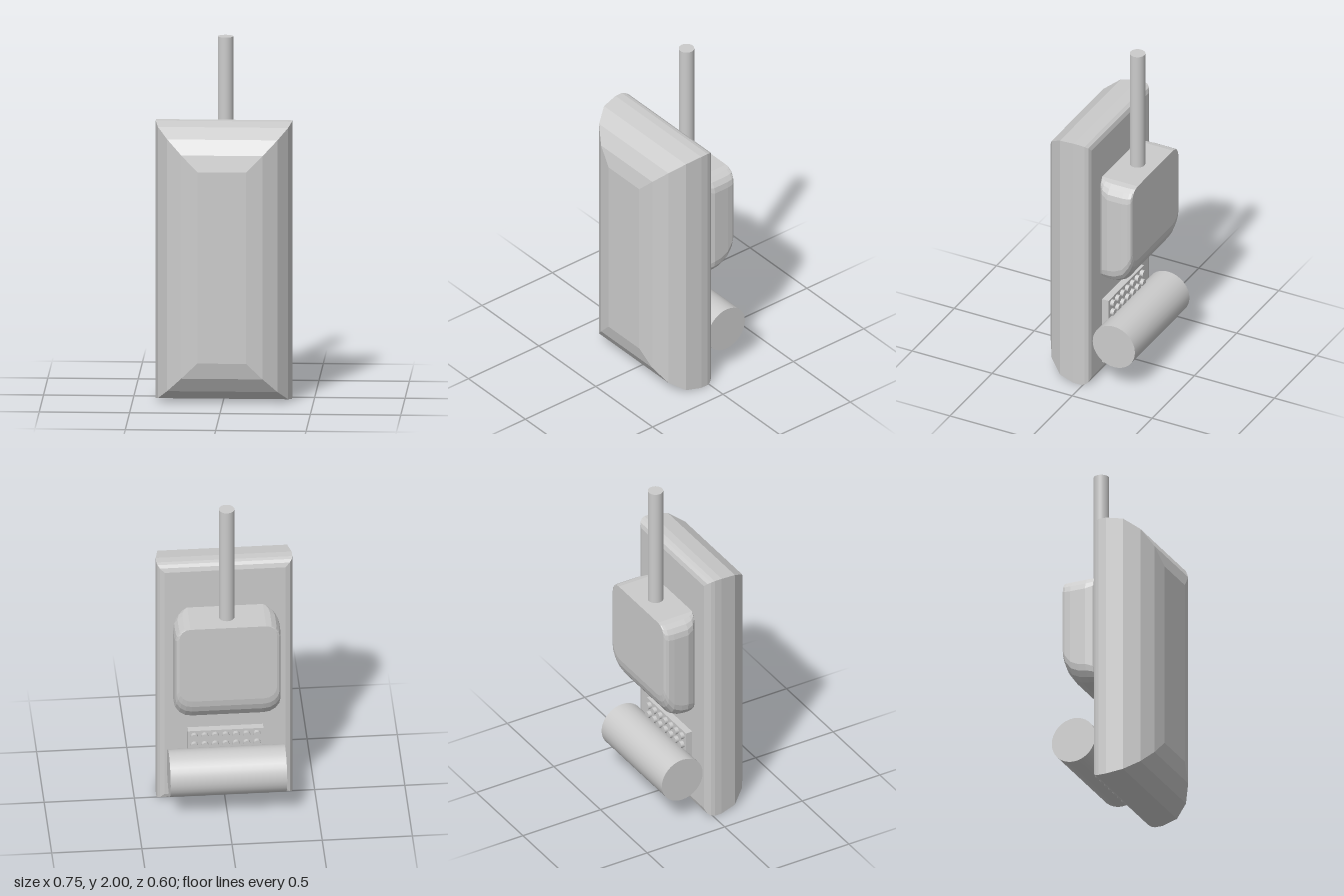
import * as THREE from 'three';

const material = new THREE.MeshStandardMaterial({ color: 0xcccccc, side: THREE.DoubleSide });
const flatMaterial = new THREE.MeshStandardMaterial({ color: 0xcccccc, flatShading: true });

function addMesh(parent, name, geometry, x, y, z, mat = material) {
  const mesh = new THREE.Mesh(geometry, mat);
  mesh.name = name;
  mesh.position.set(x, y, z);
  parent.add(mesh);
  return mesh;
}

// Skins a list of equal-length rings, anticlockwise seen from +z and ordered front to back, with end caps
function loft(rings) {
  const n = rings[0].length;
  const index = [];
  for (let i = 0; i < rings.length - 1; i++) {
    for (let j = 0; j < n; j++) {
      const a = i * n + j, b = i * n + (j + 1) % n;
      index.push(a, a + n, b + n, a, b + n, b);
    }
  }
  const last = (rings.length - 1) * n;
  for (let j = 1; j < n - 1; j++) {
    index.push(0, j, j + 1, last, last + j + 1, last + j);
  }
  const geometry = new THREE.BufferGeometry();
  geometry.setAttribute('position', new THREE.Float32BufferAttribute(rings.flat(2), 3));
  geometry.setIndex(index);
  const faceted = geometry.toNonIndexed();
  faceted.computeVertexNormals();
  return faceted;
}

// Rectangle with sharp corners
function rectRing(w, h, y, z) {
  return [[w, y - h, z], [w, y + h, z], [-w, y + h, z], [-w, y - h, z]];
}

// Rectangle with rounded corners, separate radii for bottom and top
function roundRing(w, bottom, top, rBottom, rTop, z, steps = 4) {
  const corners = [
    [w - rBottom, bottom + rBottom, rBottom, -Math.PI / 2],
    [w - rTop, top - rTop, rTop, 0],
    [-w + rTop, top - rTop, rTop, Math.PI / 2],
    [-w + rBottom, bottom + rBottom, rBottom, Math.PI],
  ];
  const ring = [];
  for (const [cx, cy, r, start] of corners) {
    for (let i = 0; i <= steps; i++) {
      const a = start + (i / steps) * Math.PI / 2;
      ring.push([cx + r * Math.cos(a), cy + r * Math.sin(a), z]);
    }
  }
  return ring;
}

export function createModel() {
  const model = new THREE.Group();

  // Main body: mitred slab with a domed front and a flat back; [z, half width]
  const bodyProfile = [
    [0.30, 0.135], [0.28, 0.225], [0.23, 0.305], [0.15, 0.36], [0.055, 0.377],
    [0.01, 0.377], [-0.01, 0.372], [-0.027, 0.36], [-0.035, 0.335],
  ];
  const body = loft(bodyProfile.map(([z, w]) => rectRing(w, w + 0.403, 0.78, z)));
  addMesh(model, 'body', body, 0, 0, 0, flatMaterial);

  // Rear housing: flat top, rounded sides and curved underside; [z, half width, bottom]
  const housingProfile = [
    [-0.035, 0.212, 0.64], [-0.045, 0.25, 0.64], [-0.07, 0.28, 0.64],
    [-0.11, 0.295, 0.64], [-0.15, 0.295, 0.645], [-0.2, 0.295, 0.67],
    [-0.235, 0.292, 0.72], [-0.25, 0.285, 0.76], [-0.256, 0.27, 0.80],
  ];
  const housing = loft(housingProfile.map(([z, w, bottom]) =>
    roundRing(w, bottom, 1.28, w - 0.2, w - 0.21, z)));
  addMesh(model, 'rearHousing', housing, 0, 0, 0, flatMaterial);

  // Antenna
  addMesh(model, 'antenna', new THREE.CylinderGeometry(0.043, 0.043, 0.73, 32), 0, 1.635, -0.145);

  // Horizontal canister across the back
  const canister = addMesh(model, 'canister',
    new THREE.CylinderGeometry(0.132, 0.132, 0.646, 32), 0, 0.27, -0.167);
  canister.rotation.z = Math.PI / 2;

  // Grille plate with a grid of studs
  const grille = new THREE.Group();
  grille.name = 'grille';
  model.add(grille);
  addMesh(grille, 'grillePlate', new THREE.BoxGeometry(0.42, 0.41, 0.045), 0, 0.275, -0.0525);
  const stud = new THREE.CylinderGeometry(0.02, 0.02, 0.03, 12);
  stud.rotateX(Math.PI / 2);
  for (let row = -3; row <= 3; row++) {
    for (let col = -3; col <= 3; col++) {
      addMesh(grille, 'grilleStud', stud, col * 0.058, 0.275 + row * 0.058, -0.081);
    }
  }

  return model;
}
